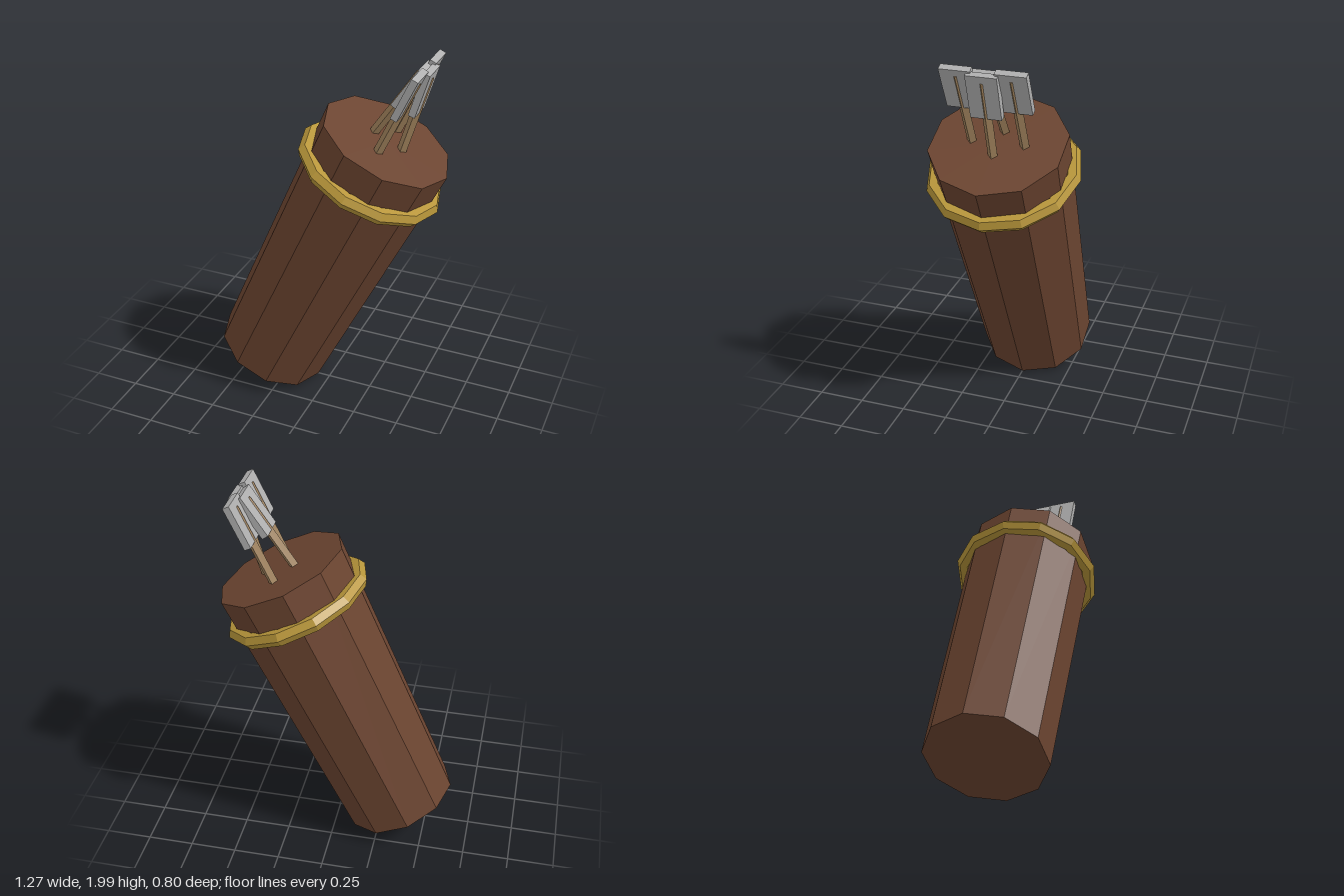
import * as THREE from 'three';

export function createModel() {
  const model = new THREE.Group();
  model.name = 'quiver';

  const material = (name, color) => {
    const m = new THREE.MeshStandardMaterial({ color, flatShading: true });
    m.name = name;
    return m;
  };
  const leather = material('brown leather', 0x6b4430);
  const gold = material('gold', 0xb8963a);
  const wood = material('light wood', 0xa0825c);
  const feather = material('grey feather', 0xb0b0b0);

  const add = (parent, name, geometry, mat, y = 0) => {
    const mesh = new THREE.Mesh(geometry, mat);
    mesh.name = name;
    mesh.position.y = y;
    parent.add(mesh);
    return mesh;
  };
  const tilted = (name, x, y, z, degrees) => {
    const group = new THREE.Group();
    group.name = name;
    group.position.set(x, y, z);
    group.rotation.z = -THREE.MathUtils.degToRad(degrees);
    model.add(group);
    return group;
  };

  // Leaning ten-sided case, origin at the middle of its base
  const height = 1.575;
  const quiverCase = tilted('case', -0.352, 0.137, 0, 25);
  add(quiverCase, 'caseBody',
    new THREE.CylinderGeometry(0.353, 0.312, height, 10, 1, false, Math.PI / 2), leather, height / 2);

  // Twelve-sided band near the rim
  const band = add(quiverCase, 'rimBand', new THREE.TorusGeometry(0.36, 0.042, 6, 12), gold, 1.376);
  band.rotation.x = Math.PI / 2;

  // Four arrows, each placed by the centre of its vane: x, y, z, lean
  const arrows = [
    [0.429, 1.878, -0.01, 34],
    [0.465, 1.885, -0.138, 25],
    [0.465, 1.885, 0.136, 25],
    [0.494, 1.862, 0, 17],
  ];
  for (const [x, y, z, lean] of arrows) {
    const arrow = tilted('arrow', x, y, z, lean);
    add(arrow, 'arrowShaft', new THREE.CylinderGeometry(0.025, 0.025, 0.48, 4), wood, -0.16);
    add(arrow, 'arrowVane', new THREE.BoxGeometry(0.036, 0.236, 0.157), feather);
  }

  return model;
}
